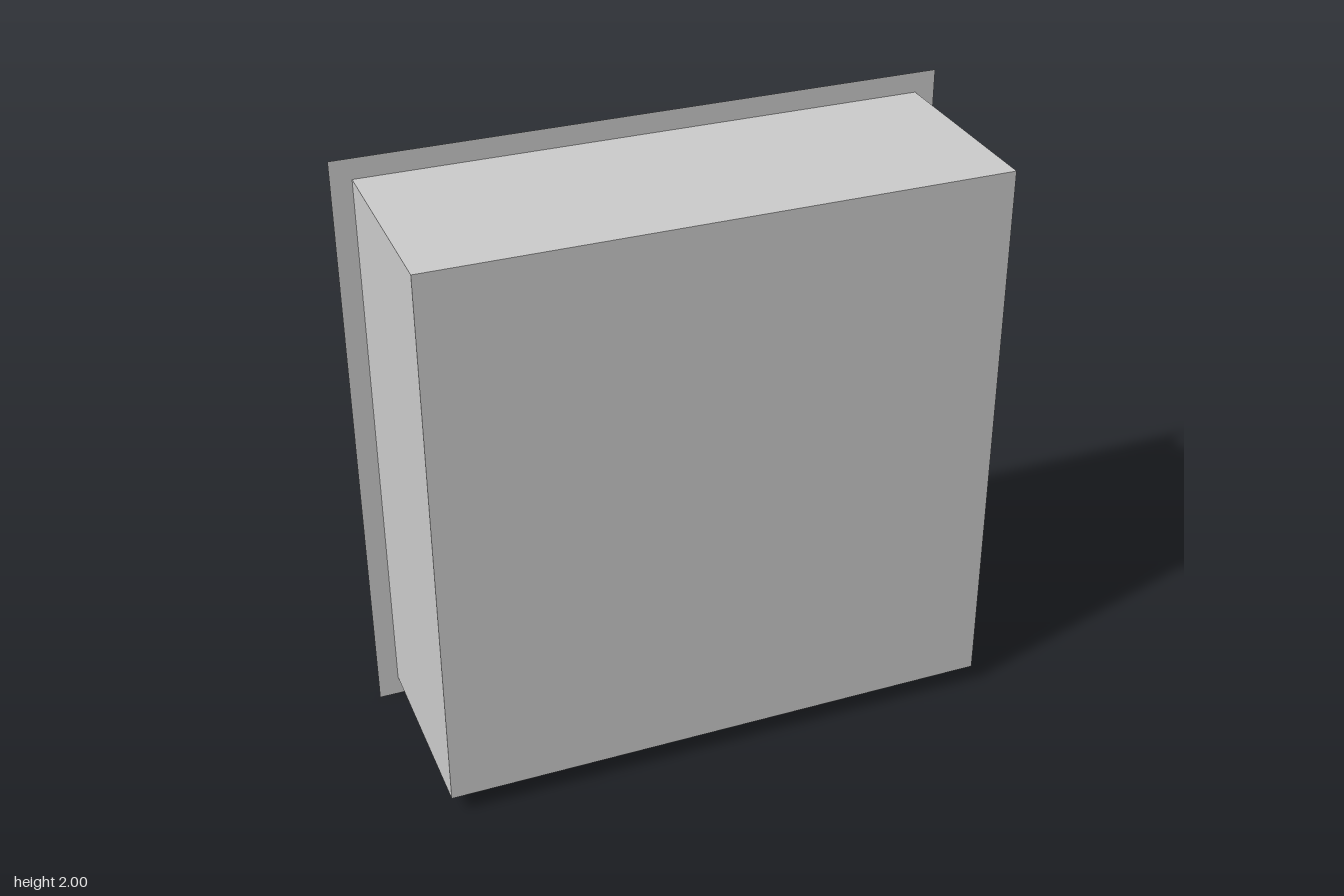
import * as THREE from 'three';

const OUTER = 1;      // half width of the rim
const INNER = 0.932;  // half width of the tray
const HALF_DEPTH = 0.334;

export function createModel() {
  const group = new THREE.Group();
  group.name = 'flangedTray';
  const material = new THREE.MeshStandardMaterial({
    color: 0xcccccc, flatShading: true, side: THREE.DoubleSide,
  });
  const add = (name, geometry) => {
    const mesh = new THREE.Mesh(geometry, material);
    mesh.name = name;
    mesh.position.y = OUTER;
    group.add(mesh);
    return mesh;
  };

  // Closed front panel
  add('frontPanel', new THREE.PlaneGeometry(2 * INNER, 2 * INNER)).position.z = HALF_DEPTH;

  // Four thin side walls, turned around the z axis
  ['rightWall', 'bottomWall', 'leftWall', 'topWall'].forEach((name, i) => {
    const wall = new THREE.PlaneGeometry(2 * HALF_DEPTH, 2 * INNER);
    wall.rotateY(-Math.PI / 2).translate(-INNER, 0, 0).rotateZ(i * Math.PI / 2);
    add(name, wall);
  });

  // Flat rim around the open back
  const square = (r) => [[-r, -r], [r, -r], [r, r], [-r, r]].map(([x, y]) => new THREE.Vector2(x, y));
  const rim = new THREE.Shape(square(OUTER));
  rim.holes.push(new THREE.Path(square(INNER).reverse()));
  const rimGeometry = new THREE.ShapeGeometry(rim);
  rimGeometry.rotateY(Math.PI);
  add('backRim', rimGeometry).position.z = -HALF_DEPTH;

  return group;
}
